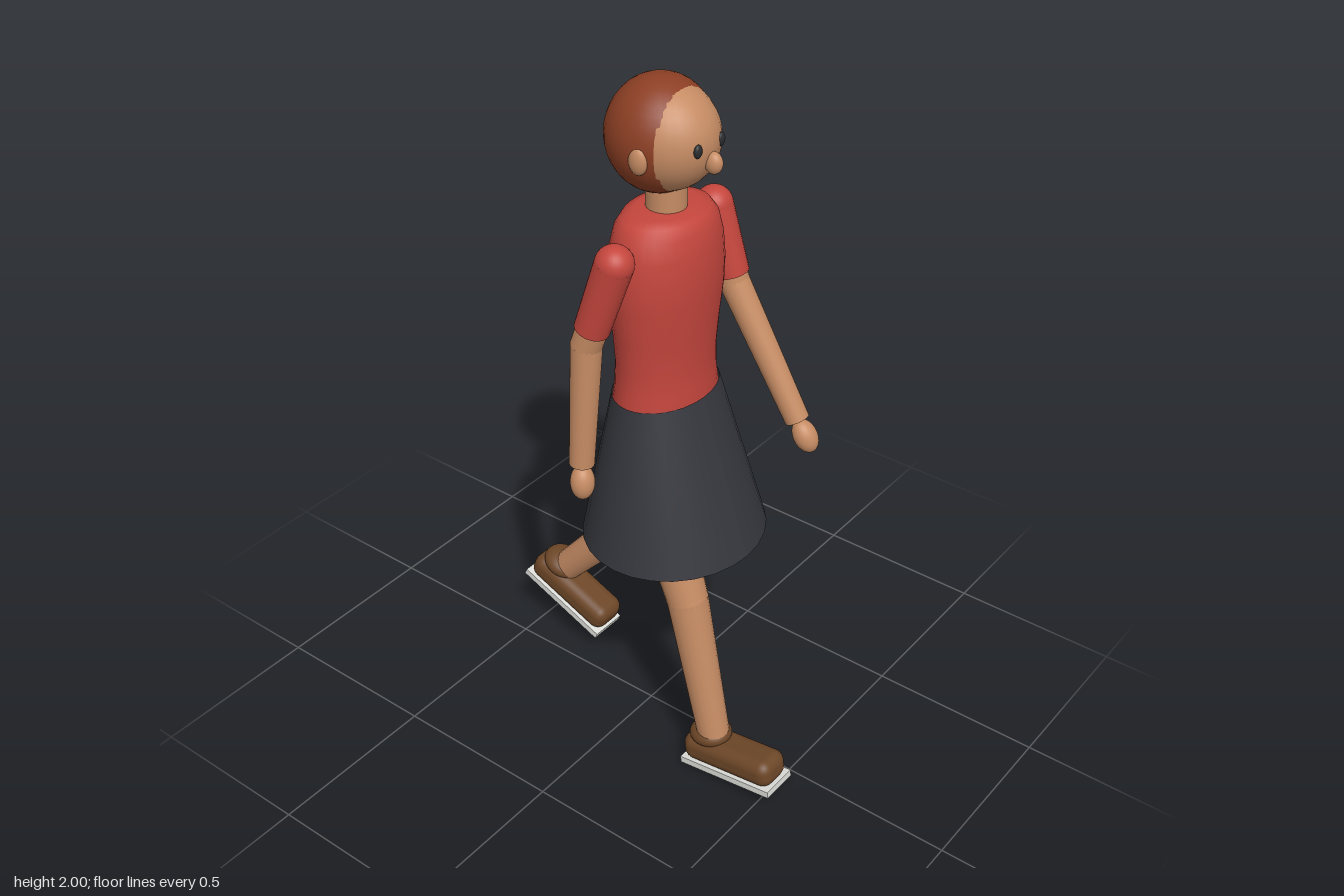
import * as THREE from 'three';
import { RoundedBoxGeometry } from 'three/addons/geometries/RoundedBoxGeometry.js';

const paint = (name, color) => {
  const m = new THREE.MeshStandardMaterial({ color });
  m.name = name;
  return m;
};
const V = (x, y, z) => new THREE.Vector3(x, y, z);

export function createModel() {
  const model = new THREE.Group();
  model.name = 'walkingFigure';
  const skin = paint('skin', 0xc68c64);
  const hairColor = paint('hair', 0x8c3f24);
  const red = paint('shirtRed', 0xc4463d);
  const charcoal = paint('skirtCharcoal', 0x35363c);
  charcoal.side = THREE.DoubleSide;
  const brown = paint('shoeBrown', 0x6c4627);
  const white = paint('soleWhite', 0xdcdcd8);
  const dark = paint('eyeDark', 0x2a2c2e);

  function add(parent, name, geometry, material, p = V(0, 0, 0)) {
    const mesh = new THREE.Mesh(geometry, material);
    mesh.name = name;
    mesh.position.copy(p);
    parent.add(mesh);
    return mesh;
  }
  function ellipsoid(parent, name, material, p, rx, ry, rz) {
    const g = new THREE.SphereGeometry(1, 28, 20).scale(rx, ry, rz);
    return add(parent, name, g, material, p);
  }
  // tapered tube from a to b, with a ball at the start
  function limb(parent, name, material, a, b, ra, rb) {
    const dir = b.clone().sub(a);
    const g = new THREE.CylinderGeometry(rb, ra, dir.length(), 20);
    const mesh = add(parent, name, g, material, a.clone().add(b).multiplyScalar(0.5));
    mesh.quaternion.setFromUnitVectors(V(0, 1, 0), dir.normalize());
    ellipsoid(parent, name + 'Joint', material, a, ra, ra, ra);
    return mesh;
  }

  // head
  const head = new THREE.Group();
  head.name = 'head';
  model.add(head);
  ellipsoid(head, 'face', skin, V(0, 1.85, 0.04), 0.131, 0.141, 0.146);
  ellipsoid(head, 'hair', hairColor, V(0, 1.85, 0.027), 0.141, 0.15, 0.138);
  ellipsoid(head, 'nose', skin, V(0, 1.815, 0.188), 0.02, 0.029, 0.025);
  for (const s of [-1, 1]) {
    ellipsoid(head, 'eye', dark, V(s * 0.046, 1.857, 0.175), 0.013, 0.018, 0.009);
    ellipsoid(head, 'ear', skin, V(s * 0.127, 1.83, 0.058), 0.018, 0.038, 0.027);
  }
  add(head, 'neck', new THREE.CylinderGeometry(0.053, 0.053, 0.12, 24), skin, V(0, 1.685, 0.047));

  // shirt body, an oval turned profile
  const profile = [[0, 1.08], [0.165, 1.08], [0.168, 1.12], [0.16, 1.17], [0.157, 1.24], [0.165, 1.33],
    [0.177, 1.43], [0.179, 1.5], [0.172, 1.57], [0.158, 1.62], [0.135, 1.65], [0.1, 1.66], [0, 1.663]]
    .map(([r, y]) => new THREE.Vector2(r, y));
  add(model, 'shirt', new THREE.LatheGeometry(profile, 32).scale(1, 1, 0.73), red, V(0, 0, 0.048));

  // skirt: open oval cone leaning slightly forward
  const skirt = new THREE.CylinderGeometry(1, 1, 1, 28, 6, true);
  const pos = skirt.attributes.position;
  for (let i = 0; i < pos.count; i++) {
    const t = 0.5 - pos.getY(i);
    pos.setXYZ(i, pos.getX(i) * (0.169 + 0.1 * t), 1.14 - 0.45 * t,
      pos.getZ(i) * (0.124 + 0.121 * t) + 0.048 + 0.034 * t);
  }
  skirt.computeVertexNormals();
  add(model, 'skirt', skirt, charcoal);

  // arms: shoulder, elbow, wrist, hand
  const arms = [
    ['leftArm', V(0.205, 1.58, 0.045), V(0.218, 1.37, 0.105), V(0.241, 1.0, 0.31), V(0.246, 0.955, 0.335)],
    ['rightArm', V(-0.205, 1.58, 0.045), V(-0.222, 1.33, -0.035), V(-0.24, 0.97, -0.045), V(-0.245, 0.915, -0.04)],
  ];
  for (const [name, shoulder, elbow, wrist, hand] of arms) {
    const arm = new THREE.Group();
    arm.name = name;
    model.add(arm);
    const cuff = shoulder.clone().lerp(elbow, name === 'leftArm' ? 0.9 : 0.8);
    limb(arm, 'sleeve', red, shoulder, cuff, 0.051, 0.047);
    limb(arm, 'upperArm', skin, cuff, elbow, 0.042, 0.042);
    limb(arm, 'forearm', skin, elbow, wrist, 0.042, 0.034);
    const palm = ellipsoid(arm, 'hand', skin, hand, 0.034, 0.05, 0.033);
    palm.quaternion.setFromUnitVectors(V(0, -1, 0), hand.clone().sub(wrist).normalize());
  }

  // legs: hip, knee, ankle, then heel position and foot pitch
  const legs = [
    ['rightLeg', V(-0.105, 1.0, 0.055), V(-0.115, 0.565, 0.213), V(-0.112, 0.12, 0.31), V(-0.109, 0, 0.237), -0.135, 0.078],
    ['leftLeg', V(0.1, 1.0, 0.035), V(0.115, 0.595, -0.088), V(0.108, 0.222, -0.42), V(0.107, 0.175, -0.538), 0.4, 0.09],
  ];
  for (const [name, hip, knee, ankle, heel, pitch, r] of legs) {
    const leg = new THREE.Group();
    leg.name = name;
    model.add(leg);
    limb(leg, 'thigh', skin, hip, knee, r, 0.058);
    limb(leg, 'shin', skin, knee, ankle, 0.058, 0.046);
    const foot = new THREE.Group();
    foot.name = 'foot';
    foot.position.copy(heel);
    foot.rotation.x = pitch;
    leg.add(foot);
    add(foot, 'sole', new THREE.BoxGeometry(0.114, 0.02, 0.304), white, V(0, 0.01, 0.152));
    add(foot, 'shoe', new RoundedBoxGeometry(0.112, 0.084, 0.298, 4, 0.034), brown, V(0, 0.055, 0.152));
    ellipsoid(foot, 'shoeCollar', brown, V(0, 0.105, 0.077), 0.058, 0.034, 0.062);
  }
  return model;
}
